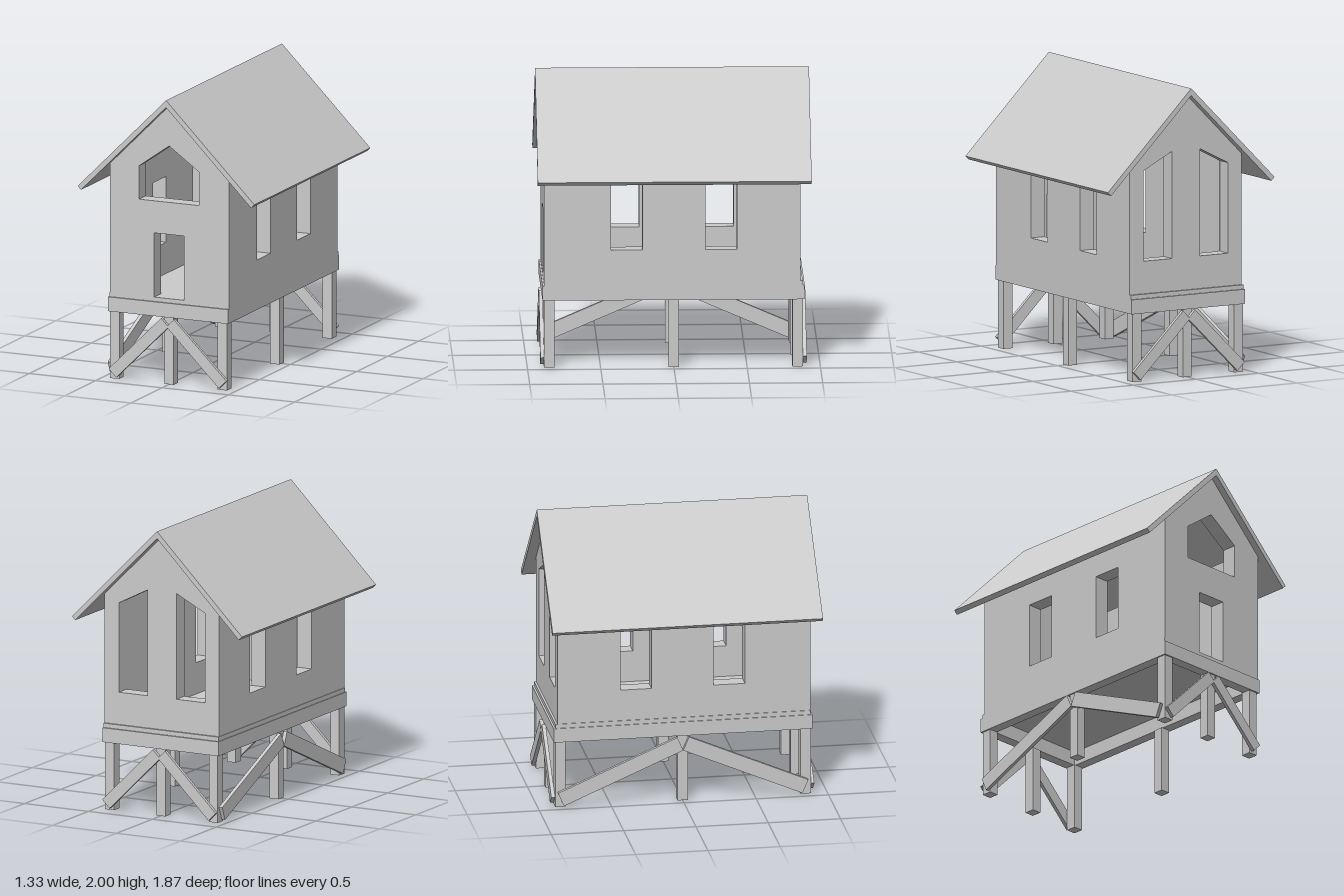
import * as THREE from 'three';

const material = new THREE.MeshStandardMaterial({ color: 0xcccccc, flatShading: true });

const polygon = (points) => points.map(([x, y]) => new THREE.Vector2(x, y));
const rect = (x0, x1, y0, y1) => [[x0, y0], [x1, y0], [x1, y1], [x0, y1]];

function add(group, name, geometry) {
  const mesh = new THREE.Mesh(geometry, material);
  mesh.name = name;
  group.add(mesh);
  return mesh;
}

// Box given by its limits on each axis
function block(group, name, x0, x1, y0, y1, z0, z1) {
  const mesh = add(group, name, new THREE.BoxGeometry(x1 - x0, y1 - y0, z1 - z0));
  mesh.position.set((x0 + x1) / 2, (y0 + y1) / 2, (z0 + z1) / 2);
  return mesh;
}

// Flat outline with openings, extruded to a panel
function panel(outline, openings, depth) {
  const shape = new THREE.Shape(polygon(outline));
  for (const hole of openings) shape.holes.push(new THREE.Path(polygon(hole)));
  return new THREE.ExtrudeGeometry(shape, { depth, bevelEnabled: false });
}

// Diagonal plank between two points in the panel plane
function plank([ax, ay], [bx, by], width, depth) {
  const geometry = new THREE.BoxGeometry(Math.hypot(bx - ax, by - ay), width, depth);
  geometry.rotateZ(Math.atan2(by - ay, bx - ax));
  geometry.translate((ax + bx) / 2, (ay + by) / 2, 0);
  return geometry;
}

export function createModel() {
  const house = new THREE.Group();
  house.name = 'stiltHouse';
  const wall = 0.11, front = 0.885, back = -0.865;

  // Stilts: corners and the middle of every side
  for (const x of [-0.41, 0, 0.4]) {
    for (const z of [-0.845, 0, 0.85]) {
      if (x === 0 && z === 0) continue;
      block(house, 'stilt', x - 0.035, x + 0.035, 0, 0.47, z - 0.036, z + 0.036);
    }
  }

  // Diagonal braces on the front, the back and the model's right side
  for (const side of [-1, 1]) {
    for (const [name, z] of [['frontBrace', 0.898], ['backBrace', -0.895]]) {
      add(house, name, plank([side * 0.415, 0.043], [side * 0.02, 0.435], 0.08, 0.026))
        .position.z = z;
    }
    const brace = plank([side * 0.845, 0.06], [side * 0.02, 0.416], 0.103, 0.026);
    brace.rotateY(-Math.PI / 2);
    add(house, 'sideBrace', brace).position.x = -0.458;
  }

  // Floor frame and deck
  block(house, 'frameBeam', -0.456, -0.381, 0.47, 0.57, -0.893, 0.897);
  block(house, 'frameBeam', 0.375, 0.45, 0.47, 0.57, -0.893, 0.897);
  block(house, 'frameBeam', -0.381, 0.375, 0.47, 0.57, 0.822, 0.897);
  block(house, 'frameBeam', -0.381, 0.375, 0.47, 0.57, -0.893, -0.818);
  block(house, 'floor', -0.45, 0.45, 0.57, 0.6, -0.88, front);

  // Gable walls: door and peaked window in front, two slanted windows behind
  const gable = [[-0.445, 0.6], [0.45, 0.6], [0.45, 1.5], [0, 1.95], [-0.445, 1.505]];
  const doorGable = [
    [-0.445, 0.6], [-0.1125, 0.6], [-0.1125, 1.05], [0.1125, 1.05], [0.1125, 0.6],
    ...gable.slice(1),
  ];
  const peakWindow = [[-0.225, 1.275], [0.225, 1.275], [0.225, 1.51], [0, 1.67], [-0.225, 1.51]];
  const backWindows = [-1, 1].map((s) => [
    [s * 0.1125, 0.825], [s * 0.3375, 0.825], [s * 0.3375, 1.45], [s * 0.1125, 1.565],
  ]);
  add(house, 'frontWall', panel(doorGable, [peakWindow], wall)).position.z = front - wall;
  add(house, 'backWall', panel(gable, backWindows, wall)).position.z = back;

  // Side walls with two windows each
  const sideOutline = rect(back + wall, front - wall, 0.6, 1.5);
  const sideWindows = [rect(0.215, 0.43, 0.82, 1.28), rect(-0.43, -0.215, 0.82, 1.28)];
  for (const [name, x] of [['leftWall', 0.45], ['rightWall', -0.445 + wall]]) {
    const geometry = panel(sideOutline, sideWindows, wall);
    geometry.rotateY(-Math.PI / 2);
    add(house, name, geometry).position.x = x;
  }

  // Gabled roof with overhanging eaves
  const roof = [
    [0, 2], [-0.665, 1.335], [-0.64, 1.31], [0, 1.95], [0.64, 1.31], [0.665, 1.335],
  ];
  add(house, 'roof', panel(roof, [], 1.87)).position.z = -0.935;

  return house;
}
